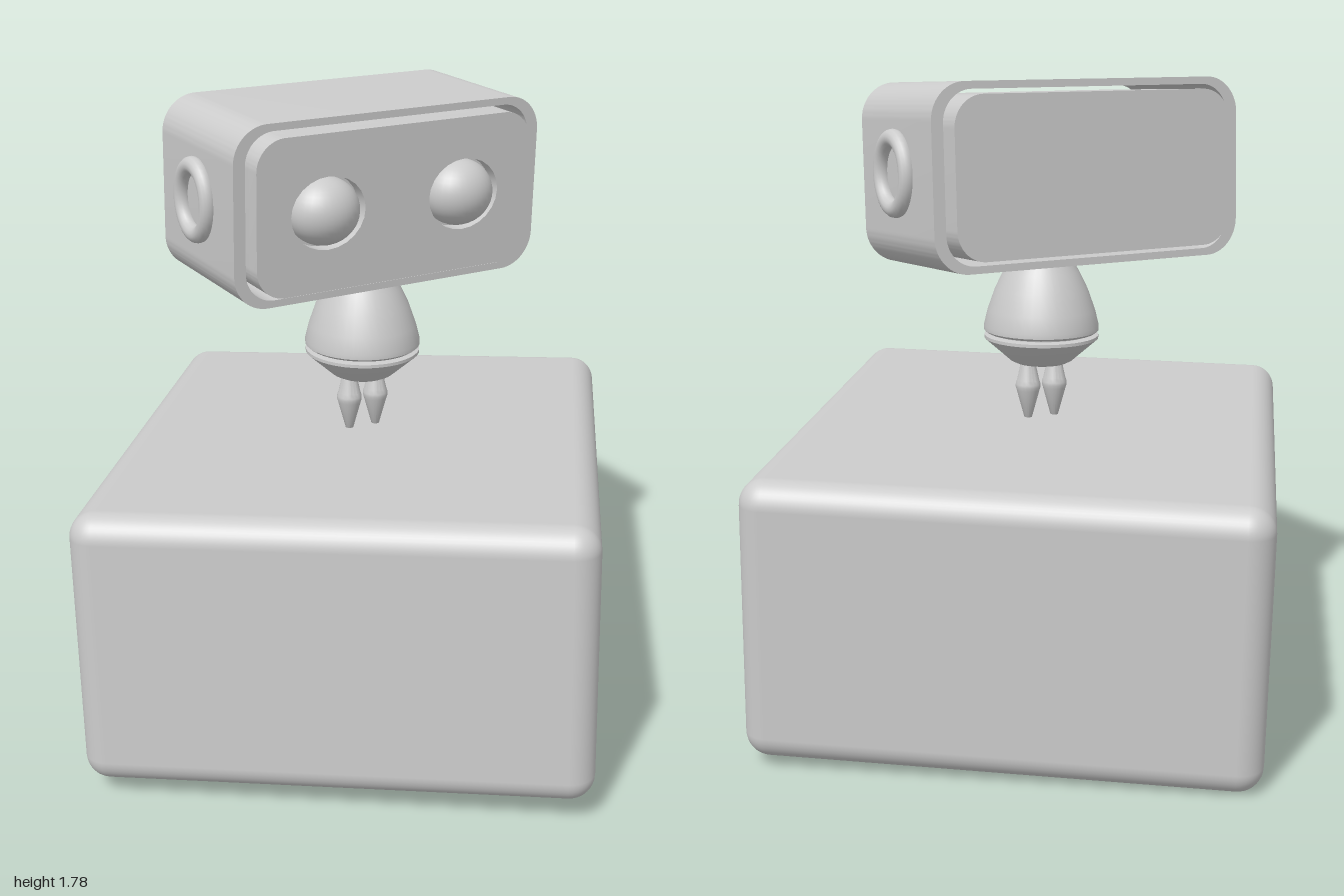
import * as THREE from 'three';
import { RoundedBoxGeometry } from 'three/addons/geometries/RoundedBoxGeometry.js';
import { toCreasedNormals } from 'three/addons/utils/BufferGeometryUtils.js';

const grey = new THREE.MeshStandardMaterial({ color: 0xcccccc });

function add(parent, name, geometry, x = 0, y = 0, z = 0) {
  const mesh = new THREE.Mesh(geometry, grey);
  mesh.name = name;
  mesh.position.set(x, y, z);
  parent.add(mesh);
  return mesh;
}

// Rounded rectangle from half sizes, as a Shape or a hole Path
function roundedRect(target, w, h, r) {
  target.absarc(w - r, h - r, r, 0, Math.PI / 2);
  target.absarc(-w + r, h - r, r, Math.PI / 2, Math.PI);
  target.absarc(-w + r, -h + r, r, Math.PI, Math.PI * 1.5);
  target.absarc(w - r, -h + r, r, Math.PI * 1.5, Math.PI * 2);
  target.closePath();
  return target;
}

// Extrude along z from z0 to z1
function slab(shape, z0, z1) {
  const g = new THREE.ExtrudeGeometry(shape, { depth: z1 - z0, bevelEnabled: false, curveSegments: 12 });
  return toCreasedNormals(g.translate(0, 0, z0), 0.6);
}

function lathe(points, segments = 40) {
  const profile = points.map(([r, y]) => new THREE.Vector2(r, y));
  return toCreasedNormals(new THREE.LatheGeometry(profile, segments), 0.6);
}

export function createModel() {
  const model = new THREE.Group();

  // Rounded block the figure stands on, turned and slightly tilted
  const base = add(model, 'baseBlock', new RoundedBoxGeometry(1.366, 0.77, 1.564, 5, 0.07), 0, 0.42, 0);
  base.rotation.set(-0.037, -0.569, 0);

  // Torso: bell above, shallow bowl below
  const body = new THREE.Group();
  body.name = 'body';
  body.position.z = -0.02;
  body.scale.z = 1.05;
  model.add(body);
  add(body, 'torso', lathe([
    [0, 1.055], [0.155, 1.055], [0.164, 1.062], [0.164, 1.075], [0.153, 1.12],
    [0.132, 1.18], [0.108, 1.23], [0.085, 1.27], [0.07, 1.3], [0, 1.3]]));
  add(body, 'waist', lathe([[0, 0.965], [0.074, 0.965], [0.09, 0.973], [0.163, 1.038], [0.163, 1.047], [0.14, 1.05], [0.14, 1.058], [0, 1.058]]));

  // Legs: two tapers meeting at the knee
  for (const side of [-1, 1]) {
    add(body, side > 0 ? 'leftLeg' : 'rightLeg', lathe([
      [0, 0.79], [0.01, 0.8], [0.033, 0.885], [0.036, 0.895],
      [0.036, 0.903], [0.032, 0.915], [0.02, 0.97], [0, 0.97]], 20), side * 0.042);
  }

  // Head
  const head = new THREE.Group();
  head.name = 'head';
  head.position.set(-0.012, 1.522, -0.065);
  head.rotation.set(0.044, 0.085, 0);
  model.add(head);

  // Outer shell, open at front and back
  const shell = roundedRect(new THREE.Shape(), 0.478, 0.248, 0.1);
  shell.holes.push(roundedRect(new THREE.Path(), 0.444, 0.228, 0.085));
  add(head, 'headShell', slab(shell, -0.215, 0.215));

  // Core ending in the back panel
  add(head, 'headCore', slab(roundedRect(new THREE.Shape(), 0.428, 0.215, 0.085), -0.247, 0.205));

  // Face panel with eye sockets
  const face = roundedRect(new THREE.Shape(), 0.428, 0.215, 0.085);
  for (const side of [-1, 1]) {
    const socket = new THREE.Path();
    socket.absellipse(side * 0.214, 0, 0.113, 0.1, 0, Math.PI * 2);
    face.holes.push(socket);
  }
  add(head, 'facePanel', slab(face, 0.205, 0.247));

  for (const side of [-1, 1]) {
    const label = side > 0 ? 'left' : 'right';
    // Eyes
    const eye = add(head, label + 'Eye', new THREE.SphereGeometry(1, 32, 20), side * 0.214, 0, 0.215);
    eye.scale.set(0.102, 0.093, 0.09);
    // Ear rings
    const ear = add(head, label + 'Ear', new THREE.TorusGeometry(0.094, 0.024, 14, 40), side * 0.486, 0.01, 0);
    ear.rotation.y = Math.PI / 2;
    ear.scale.x = 0.84;
  }
  return model;
}
